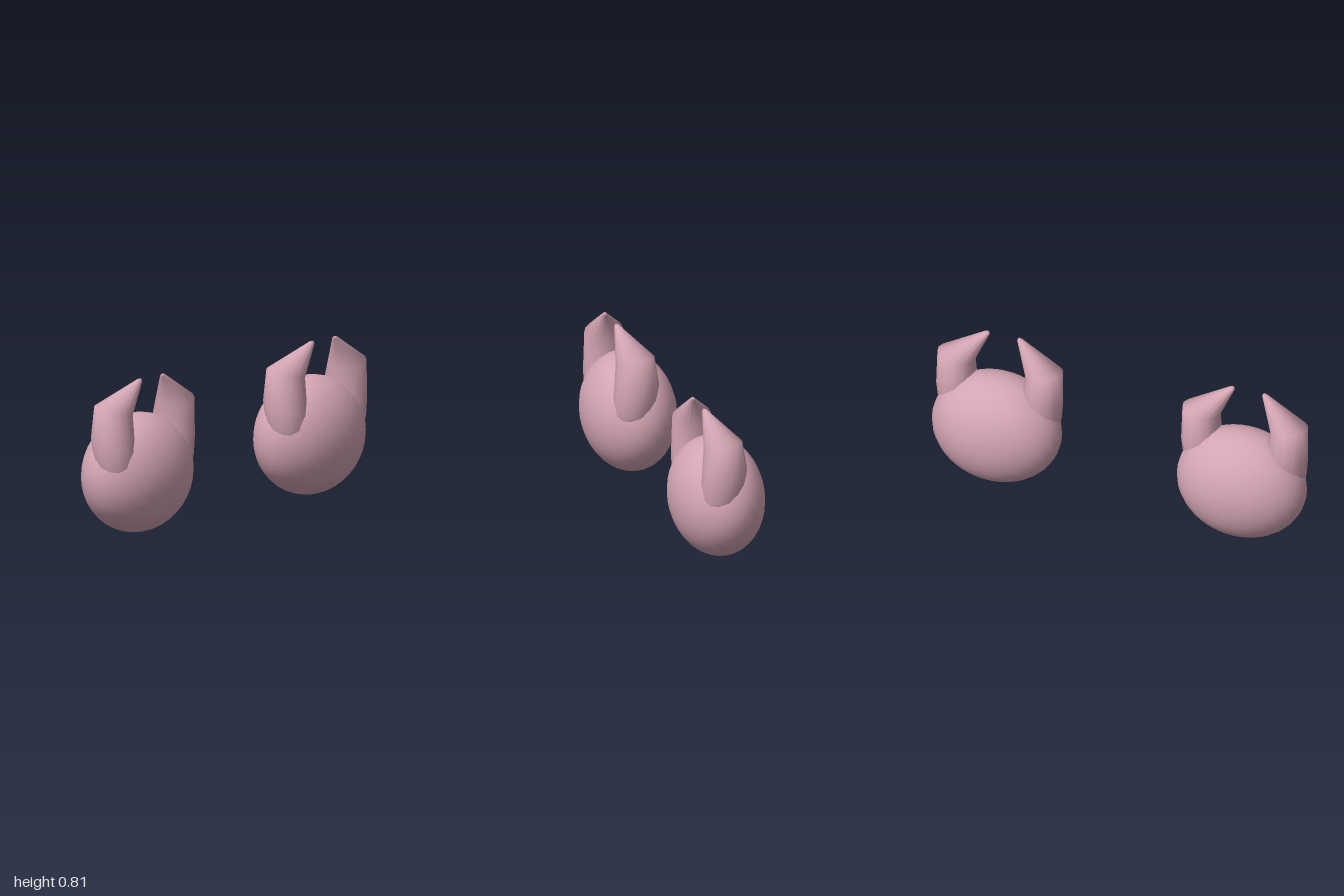
import * as THREE from 'three';

const SIDES = 14;

// Pincer cross-sections: [outward x, y, z, radius x, radius z, tilt per x, tilt per z]
const RINGS = [
  [0.2, 0.27, 0.045, 0.08, 0.09, 0, 0],
  [0.225, 0.38, 0.045, 0.1, 0.105, 0, -0.1],
  [0.229, 0.49, 0.037, 0.104, 0.117, -0.05, -0.3],
  [0.236, 0.66, 0.047, 0.096, 0.098, 0.2, -0.15],
  [0.087, 0.799, 0.093, 0.013, 0.012, 0.5, -0.2],
];

// Lofts the rings into a closed shaft with a hooked tip; side mirrors it in x
function pincerGeometry(side) {
  const pos = [], index = [];
  const tri = (a, b, c) => (side > 0 ? index.push(a, b, c) : index.push(a, c, b));
  for (const [cx, cy, cz, rx, rz, tx, tz] of RINGS) {
    for (let i = 0; i < SIDES; i++) {
      const a = (i / SIDES) * Math.PI * 2;
      const dx = Math.cos(a) * rx, dz = Math.sin(a) * rz;
      pos.push(side * (cx + dx), cy + dx * tx + dz * tz, cz + dz);
    }
  }
  for (let r = 0; r < RINGS.length - 1; r++) {
    for (let i = 0; i < SIDES; i++) {
      const j = (i + 1) % SIDES;
      const a = r * SIDES + i, b = r * SIDES + j;
      tri(a, a + SIDES, b);
      tri(b, a + SIDES, b + SIDES);
    }
  }
  // Tip and hidden base
  const last = (RINGS.length - 1) * SIDES;
  const tip = pos.length / 3;
  pos.push(side * 0.08, 0.808, 0.096, side * 0.2, 0.27, 0.045);
  for (let i = 0; i < SIDES; i++) {
    const j = (i + 1) % SIDES;
    tri(last + i, tip, last + j);
    tri(i, j, tip + 1);
  }
  const geo = new THREE.BufferGeometry();
  geo.setAttribute('position', new THREE.Float32BufferAttribute(pos, 3));
  geo.setIndex(index);
  geo.computeVertexNormals();
  return geo;
}

export function createModel() {
  const model = new THREE.Group();
  model.name = 'clawPair';
  const pink = new THREE.MeshStandardMaterial({ color: 0xd4a5b3 });
  pink.name = 'dusty pink';

  const palmGeo = new THREE.SphereGeometry(1, 32, 20);
  palmGeo.scale(0.34, 0.304, 0.234);
  palmGeo.translate(0, 0.304, 0);

  for (const s of [1, -1]) {
    const claw = new THREE.Group();
    claw.name = s > 0 ? 'leftClaw' : 'rightClaw';
    claw.position.x = s * 0.66;

    // Egg-shaped palm
    const palm = new THREE.Mesh(palmGeo, pink);
    palm.name = 'palm';
    claw.add(palm);

    // Two facing pincers
    for (const side of [1, -1]) {
      const pincer = new THREE.Mesh(pincerGeometry(side), pink);
      pincer.name = side === s ? 'outerPincer' : 'innerPincer';
      claw.add(pincer);
    }
    model.add(claw);
  }
  return model;
}
